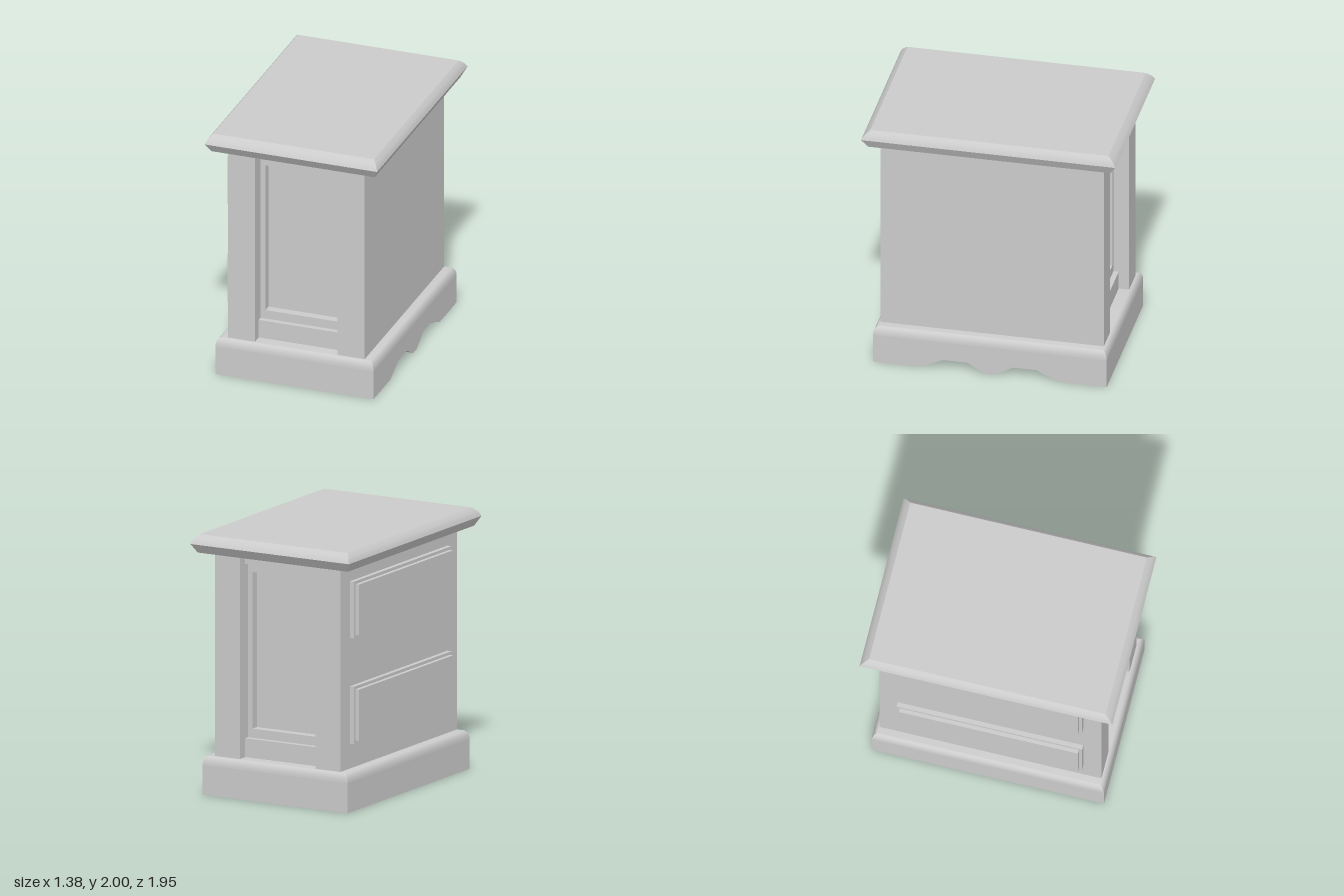
import * as THREE from 'three';
import { toCreasedNormals } from 'three/addons/utils/BufferGeometryUtils.js';

const material = new THREE.MeshStandardMaterial({ color: 0xcccccc });

function add(parent, name, geometry) {
  const mesh = new THREE.Mesh(geometry, material);
  mesh.name = name;
  parent.add(mesh);
  return mesh;
}

// Box given by its minimum and maximum corners
function block(parent, name, [x0, y0, z0], [x1, y1, z1]) {
  const mesh = add(parent, name, new THREE.BoxGeometry(x1 - x0, y1 - y0, z1 - z0));
  mesh.position.set((x0 + x1) / 2, (y0 + y1) / 2, (z0 + z1) / 2);
  return mesh;
}

// Closed stack of rectangles, each level being [half width, y, half depth]
function moulding(levels) {
  const points = [], index = [];
  for (const [x, y, z] of levels) points.push(x, y, z, x, y, -z, -x, y, -z, -x, y, z);
  for (let k = 0; k < levels.length - 1; k++) {
    for (let i = 0; i < 4; i++) {
      const a = k * 4 + i, b = k * 4 + (i + 1) % 4;
      index.push(a, b, b + 4, a, b + 4, a + 4);
    }
  }
  const t = (levels.length - 1) * 4;
  index.push(0, 2, 1, 0, 3, 2, t, t + 1, t + 2, t, t + 2, t + 3);
  const geometry = new THREE.BufferGeometry();
  geometry.setAttribute('position', new THREE.Float32BufferAttribute(points, 3));
  geometry.setIndex(index);
  return toCreasedNormals(geometry, 0.6);
}

// Base wall with two shallow arches whose outer ends narrow toward the inside
function archedWall(halfLength, height, thickness) {
  const arch = [[0.04, 0], [0.175, 0.08], [0.355, 0.08], [0.535, 0]];
  const shape = new THREE.Shape();
  shape.moveTo(-halfLength, 0);
  for (const [x, y] of [...arch].reverse()) shape.lineTo(-x, y);
  for (const [x, y] of arch) shape.lineTo(x, y);
  shape.lineTo(halfLength, 0);
  shape.lineTo(halfLength, height);
  shape.lineTo(-halfLength, height);
  const geometry = new THREE.ExtrudeGeometry(shape, { depth: thickness, bevelEnabled: false });
  const p = geometry.attributes.position;
  for (let i = 0; i < p.count; i++) {
    const x = p.getX(i), y = p.getY(i);
    if (p.getZ(i) < 0.001 && y < 0.1 && Math.abs(x) > 0.3 && Math.abs(x) < 0.6) {
      p.setX(i, x - Math.sign(x) * (y > 0.04 ? 0.04 : 0.07));
    }
  }
  geometry.rotateY(Math.PI / 2);
  return toCreasedNormals(geometry, 0.3);
}

function rectPath(path, x, y0, y1) {
  path.moveTo(-x, y0);
  path.lineTo(x, y0);
  path.lineTo(x, y1);
  path.lineTo(-x, y1);
  path.closePath();
  return path;
}

function createBase() {
  const base = new THREE.Group();
  base.name = 'base';
  const X = 0.63, Z = 0.895, T = 0.12, H = 0.23;
  add(base, 'archedBaseWall', archedWall(Z, H, T)).position.x = X - T;
  block(base, 'plainBaseWall', [-X, 0, -Z], [-X + T, H, Z]);
  block(base, 'frontBaseWall', [-X + T, 0, Z - T], [X - T, H, Z]);
  block(base, 'backBaseWall', [-X + T, 0, -Z], [X - T, H, -Z + T]);
  block(base, 'innerFloor', [-X + T, 0.13, -0.05], [X - T, H, Z - T]);
  // Rounded upper edge
  const levels = [];
  for (let i = 0; i <= 6; i++) {
    const a = (i / 6) * Math.PI / 2, inset = 0.04 * (1 - Math.cos(a));
    levels.push([X - inset, H + 0.07 * Math.sin(a), Z - inset]);
  }
  add(base, 'baseMoulding', moulding(levels));
  return base;
}

function createBody() {
  const body = new THREE.Group();
  body.name = 'body';
  for (const s of [-1, 1]) {
    const xs = [s * 0.33, s * 0.545].sort((a, b) => a - b);
    block(body, 'sideWall', [xs[0], 0.3, -0.855], [xs[1], 1.86, 0.855]);
  }
  block(body, 'bottomRail', [-0.33, 0.3, -0.775], [0.33, 0.445, 0.775]);
  block(body, 'topRail', [-0.33, 1.78, -0.775], [0.33, 1.86, 0.775]);
  block(body, 'panel', [-0.33, 0.445, -0.67], [0.33, 1.78, 0.67]);
  // Frames around the sunken panels, front and back
  const frame = rectPath(new THREE.Shape(), 0.33, 0.445, 1.78);
  frame.holes.push(rectPath(new THREE.Path(), 0.29, 0.515, 1.715));
  const geometry = new THREE.ExtrudeGeometry(frame, { depth: 0.065, bevelEnabled: false });
  for (const turn of [0, Math.PI]) {
    const mesh = add(body, 'panelFrame', geometry);
    mesh.rotation.y = turn;
    mesh.position.z = turn ? -0.67 : 0.67;
  }
  return body;
}

export function createModel() {
  const model = new THREE.Group();
  model.name = 'cabinet';
  model.add(createBase(), createBody());

  // Stepped drawer fronts on one side
  for (const [y0, y1] of [[0.49, 0.93], [1.3, 1.735]]) {
    const drawer = new THREE.Group();
    drawer.name = 'drawer';
    block(drawer, 'drawerBack', [-0.58, y0, -0.715], [-0.545, y1, 0.715]);
    block(drawer, 'drawerFace', [-0.61, y0 + 0.023, -0.69], [-0.58, y1 - 0.023, 0.69]);
    model.add(drawer);
  }

  // Overhanging top with a rounded upper edge and undercut lower edge
  const levels = [[0.652, 1.86, 0.928]];
  for (let i = 0; i <= 5; i++) {
    const t = i / 5, bulge = 0.008 * Math.sin(Math.PI * t);
    levels.push([0.687 - 0.045 * t + bulge, 1.93 + 0.07 * t, 0.974 - 0.062 * t + bulge]);
  }
  levels[1][0] = 0.688;
  add(model, 'tableTop', moulding(levels));
  return model;
}
